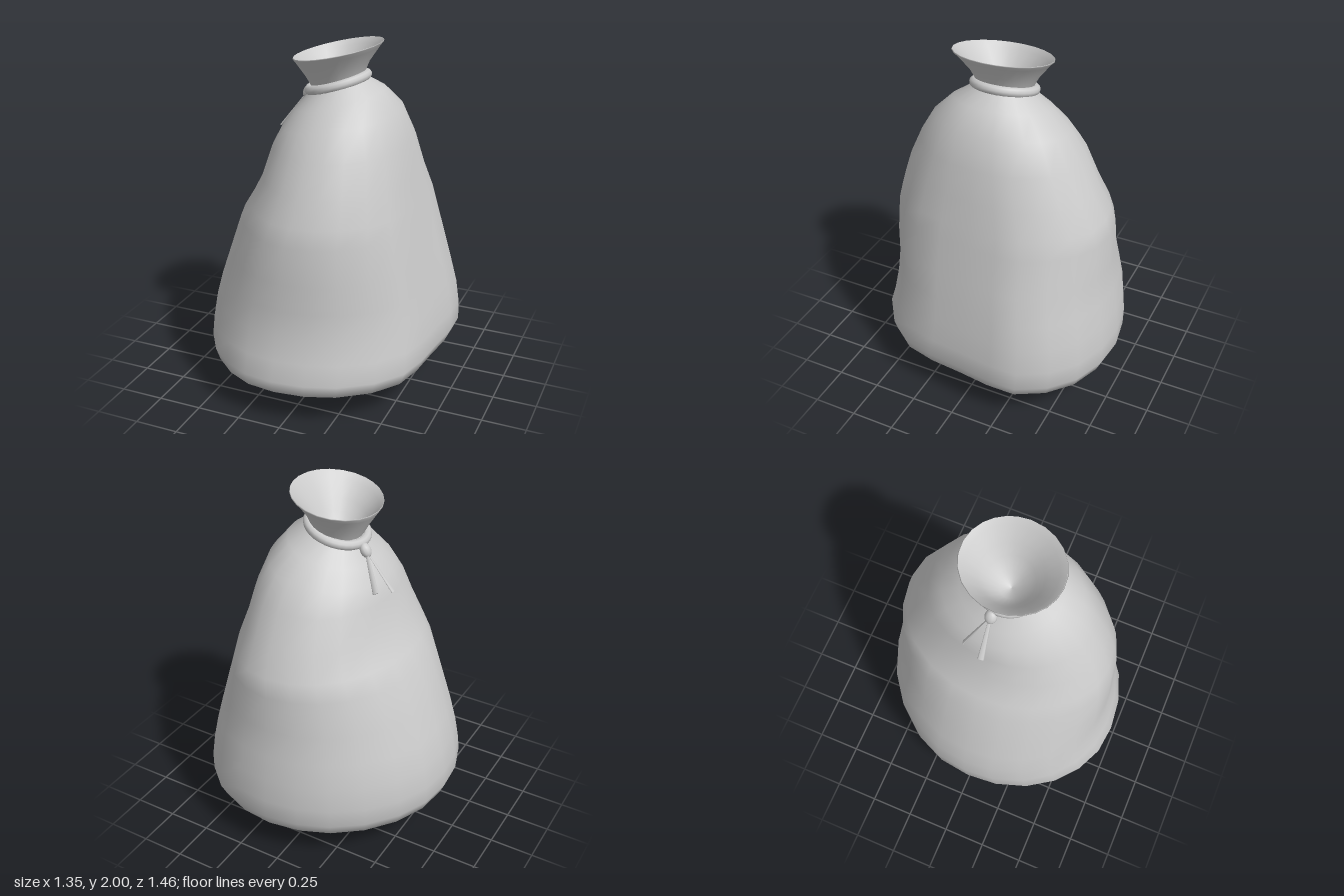
import * as THREE from 'three';

const material = new THREE.MeshStandardMaterial({ color: 0xcccccc, side: THREE.DoubleSide });

// Plan outline of the slumped base: x, z, running from the right side to the front
const plan = [
  [0.65, 0], [0.63, 0.2], [0.585, 0.38], [0.47, 0.53], [0.3, 0.65], [0.13, 0.71], [-0.05, 0.73],
  [-0.22, 0.71], [-0.37, 0.64], [-0.5, 0.53], [-0.6, 0.38], [-0.66, 0.2], [-0.675, 0.02],
  [-0.65, -0.17], [-0.57, -0.35], [-0.44, -0.51], [-0.28, -0.63], [-0.11, -0.7], [0.08, -0.73],
  [0.27, -0.71], [0.45, -0.64], [0.585, -0.52], [0.675, -0.36], [0.675, -0.19],
].map(([x, z]) => [x / 0.675, z / 0.73]);

// Soft hollows (and bulges, where negative): angle, height, angular width, vertical width, depth
const dents = [
  [2.3, 0.95, 0.4, 0.2, 0.045],
  [-2.9, 1.3, 0.35, 0.16, 0.04],
  [-0.65, 1.12, 0.4, 0.3, 0.06],
  [-2.2, 1.42, 0.45, 0.22, -0.04],
  [-1.1, 1.53, 0.45, 0.18, -0.05],
];

function dentFactor(angle, y) {
  return dents.reduce((f, [a, h, wa, wh, depth]) => {
    const da = Math.atan2(Math.sin(angle - a), Math.cos(angle - a)) / wa;
    const dy = (y - h) / wh;
    return f - depth * Math.exp(-da * da - dy * dy);
  }, 1);
}

// Skins rings given as [y, xMin, xMax, zMin, zMax, tilt]
function loft(name, rings) {
  const pos = [], index = [], n = plan.length;
  rings.forEach(([y, x0, x1, z0, z1, tilt = 0], r) => {
    const round = THREE.MathUtils.smoothstep(y, 1.0, 1.75);
    plan.forEach(([px, pz], i) => {
      const a = Math.atan2(pz, px), f = dentFactor(a, y);
      const ux = THREE.MathUtils.lerp(px, Math.cos(a), round) * f;
      const uz = THREE.MathUtils.lerp(pz, Math.sin(a), round) * f;
      const dx = ux * (x1 - x0) / 2;
      pos.push((x0 + x1) / 2 + dx, y + tilt * dx, (z0 + z1) / 2 + uz * (z1 - z0) / 2);
      if (r === 0) return;
      const j = (i + 1) % n, lo = (r - 1) * n, hi = r * n;
      index.push(lo + i, hi + i, lo + j, lo + j, hi + i, hi + j);
    });
  });
  const geo = new THREE.BufferGeometry();
  geo.setAttribute('position', new THREE.Float32BufferAttribute(pos, 3));
  geo.setIndex(index);
  geo.computeVertexNormals();
  const mesh = new THREE.Mesh(geo, material);
  mesh.name = name;
  return mesh;
}

// Flat cord end that widens from the knot to its tip
function cordEnd(from, to) {
  const a = new THREE.Vector3(...from), b = new THREE.Vector3(...to);
  const geo = new THREE.CylinderGeometry(0.018, 0.008, a.distanceTo(b), 8);
  geo.scale(0.3, 1, 1);
  const mesh = new THREE.Mesh(geo, material);
  mesh.position.copy(a).lerp(b, 0.5);
  mesh.quaternion.setFromUnitVectors(new THREE.Vector3(0, 1, 0), b.sub(a).normalize());
  mesh.name = 'cordEnd';
  return mesh;
}

export function createModel() {
  const group = new THREE.Group();
  group.name = 'tiedSack';

  // Filled sack, from the rounded underside up to the tied neck
  group.add(loft('sackBody', [
    [0.003, 0.05, 0.05, 0, 0],
    [0.015, -0.17, 0.24, -0.22, 0.22],
    [0.06, -0.39, 0.43, -0.43, 0.43],
    [0.13, -0.55, 0.56, -0.59, 0.59],
    [0.2, -0.645, 0.645, -0.7, 0.715],
    [0.27, -0.675, 0.675, -0.73, 0.73],
    [0.38, -0.675, 0.67, -0.73, 0.695],
    [0.52, -0.655, 0.65, -0.715, 0.665],
    [0.66, -0.615, 0.62, -0.69, 0.65],
    [0.82, -0.56, 0.59, -0.665, 0.65],
    [1.03, -0.485, 0.545, -0.655, 0.635],
    [1.13, -0.425, 0.525, -0.63, 0.605],
    [1.28, -0.345, 0.485, -0.55, 0.55],
    [1.45, -0.3, 0.445, -0.46, 0.47, 0.03],
    [1.58, -0.255, 0.385, -0.375, 0.39, 0.16],
    [1.68, -0.195, 0.295, -0.27, 0.285, 0.25],
    [1.745, -0.13, 0.205, -0.175, 0.185, 0.3],
    [1.79, -0.105, 0.18, -0.15, 0.16, 0.3],
  ]));

  // Flared mouth above the tie, outside and inside
  group.add(loft('mouthOutside', [
    [1.78, -0.105, 0.18, -0.15, 0.16, 0.3],
    [1.84, -0.135, 0.205, -0.18, 0.195, 0.27],
    [1.92, -0.185, 0.26, -0.24, 0.26, 0.22],
    [1.945, -0.2, 0.28, -0.265, 0.288, 0.21],
    [1.95, -0.198, 0.278, -0.262, 0.285, 0.21],
  ]));
  group.add(loft('mouthInside', [
    [1.95, -0.198, 0.278, -0.262, 0.285, 0.21],
    [1.92, -0.175, 0.25, -0.23, 0.25, 0.22],
    [1.84, -0.12, 0.19, -0.165, 0.18, 0.27],
    [1.78, -0.085, 0.155, -0.12, 0.135, 0.3],
    [1.71, -0.03, 0.1, -0.05, 0.07, 0.3],
    [1.68, 0.035, 0.035, 0.01, 0.01, 0.3],
  ]));

  // Cord round the neck
  const cord = new THREE.Group();
  cord.name = 'cord';
  const loop = new THREE.Mesh(new THREE.TorusGeometry(0.163, 0.027, 10, 32).rotateX(Math.PI / 2), material);
  loop.position.set(0.035, 1.765, 0.005);
  loop.rotation.z = 0.3;
  loop.name = 'cordLoop';

  // Knot and the two hanging ends
  const knot = new THREE.Mesh(new THREE.SphereGeometry(0.036, 12, 8), material);
  knot.position.set(-0.153, 1.685, -0.025);
  knot.scale.set(0.8, 1.2, 0.95);
  knot.rotation.z = -0.5;
  knot.name = 'knot';
  cord.add(loop, knot,
    cordEnd([-0.16, 1.68, -0.025], [-0.318, 1.475, -0.015]),
    cordEnd([-0.16, 1.68, -0.03], [-0.275, 1.505, -0.13]));
  group.add(cord);

  return group;
}
